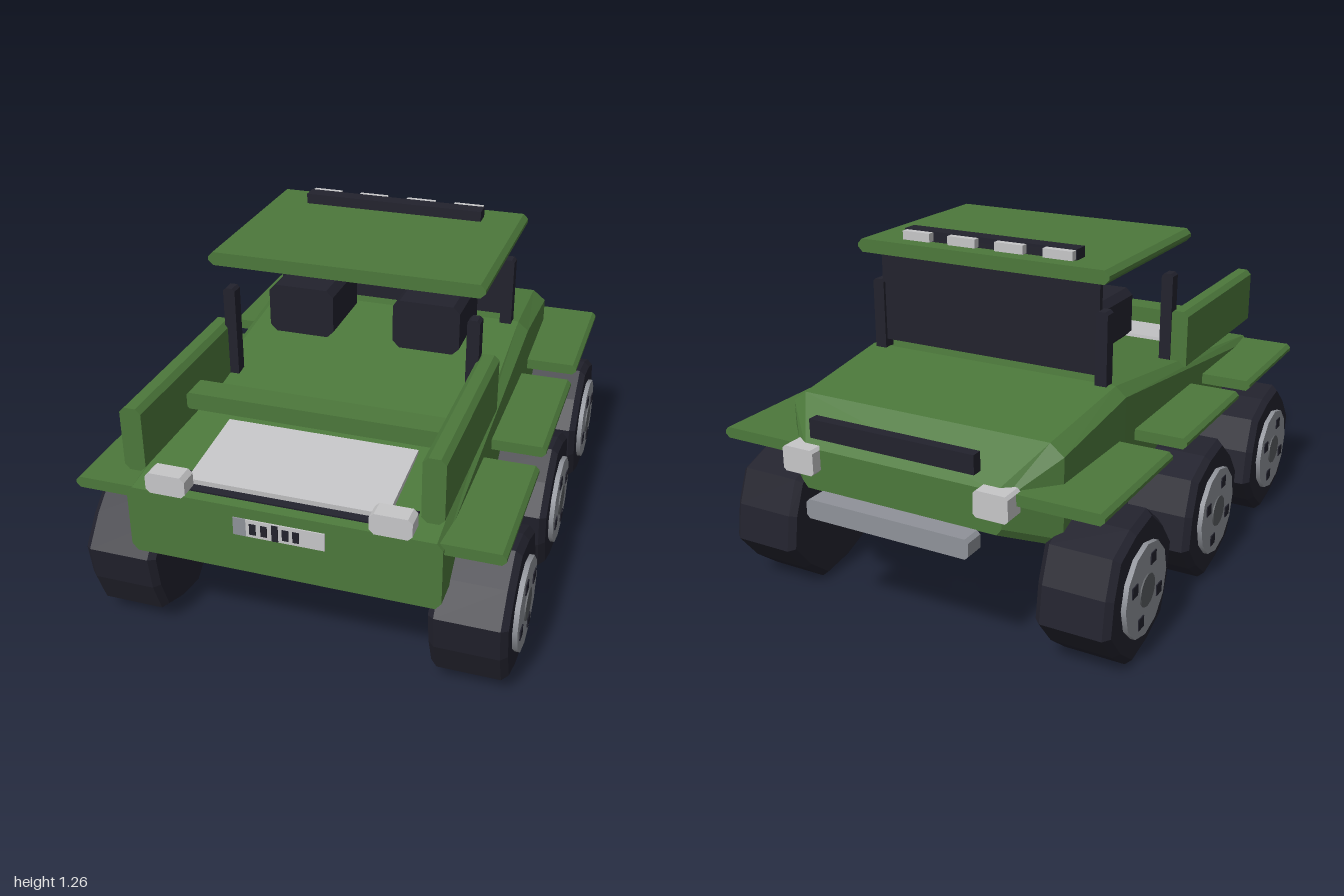
import * as THREE from 'three';

const mat = (name, color) => {
  const m = new THREE.MeshStandardMaterial({ color });
  m.name = name;
  return m;
};

// Skin a list of closed cross-sections, each { z, pts: [[x, y], ...] } counter-clockwise, running from +z to -z
function loft(sections) {
  const pos = [];
  const n = sections[0].pts.length;
  const put = (s, j) => pos.push(s.pts[j % n][0], s.pts[j % n][1], s.z);
  for (let i = 0; i < sections.length - 1; i++) {
    const a = sections[i], b = sections[i + 1];
    for (let j = 0; j < n; j++) {
      put(a, j); put(b, j); put(b, j + 1);
      put(a, j); put(b, j + 1); put(a, j + 1);
    }
  }
  const first = sections[0], last = sections[sections.length - 1];
  for (let j = 1; j < n - 1; j++) {
    put(first, 0); put(first, j); put(first, j + 1);
    put(last, 0); put(last, j + 1); put(last, j);
  }
  const g = new THREE.BufferGeometry();
  g.setAttribute('position', new THREE.Float32BufferAttribute(pos, 3));
  g.computeVertexNormals();
  return g;
}

// Bar along z with cut corners, given by its limits
function bar(x0, x1, y0, y1, z0, z1, c) {
  const pts = [[x0 + c, y0], [x1 - c, y0], [x1, y0 + c], [x1, y1 - c],
    [x1 - c, y1], [x0 + c, y1], [x0, y1 - c], [x0, y0 + c]];
  return loft([{ z: z1, pts }, { z: z0, pts }]);
}

export function createModel() {
  const model = new THREE.Group();
  model.name = 'sixWheeledTruck';
  const green = mat('green paint', 0x4c783b);
  const dark = mat('dark rubber', 0x22222d);
  const light = mat('light silver', 0xc6c6c8);
  const grey = mat('rim grey', 0x8f9299);
  const hubGrey = mat('hub grey', 0x5a5d61);

  const add = (name, geo, material, parent = model) => {
    const m = new THREE.Mesh(geo, material);
    m.name = name;
    parent.add(m);
    return m;
  };
  const box = (name, material, x0, x1, y0, y1, z0, z1) => {
    const g = new THREE.BoxGeometry(x1 - x0, y1 - y0, z1 - z0);
    g.translate((x0 + x1) / 2, (y0 + y1) / 2, (z0 + z1) / 2);
    return add(name, g, material);
  };
  // Cut-corner bar on both sides
  const pair = (name, material, x0, x1, y0, y1, z0, z1, c) => {
    add(name + 'Left', bar(x0, x1, y0, y1, z0, z1, c), material);
    add(name + 'Right', bar(-x1, -x0, y0, y1, z0, z1, c), material);
  };

  // Body: z, half width, bottom, shoulder, top, half width of the top
  const body = [
    [0.96, 0.54, 0.385, 0.61, 0.635, 0.52],
    [-0.33, 0.54, 0.39, 0.775, 0.81, 0.5],
    [-0.77, 0.53, 0.41, 0.72, 0.76, 0.48],
    [-0.92, 0.39, 0.48, 0.6, 0.63, 0.37],
  ].map(([z, w, yb, ys, yt, wt]) => ({
    z,
    pts: [[w - 0.02, yb], [w, yb + 0.025], [w, ys], [wt, yt],
      [-wt, yt], [-w, ys], [-w, yb + 0.025], [-w + 0.02, yb]],
  }));
  add('body', loft(body), green);

  // Fenders and wheels
  const wheelZ = [0.68, 0.02, -0.64];
  const makeWheel = (s, z) => {
    const wheel = new THREE.Group();
    wheel.name = s > 0 ? 'wheelLeft' : 'wheelRight';
    wheel.position.set(s * 0.6175, 0.255, z);
    wheel.rotation.y = s * Math.PI / 2;
    const ring = (k) => Array.from({ length: 12 }, (_, i) => {
      const a = THREE.MathUtils.degToRad((s > 0 ? 105 : 75) + i * 30);
      const r = (i % 2 ? 0.242 : 0.263) * k;
      return [Math.cos(a) * r, Math.sin(a) * r];
    });
    add('tire', loft([[0.1325, 0.92], [0.11, 1], [-0.11, 1], [-0.1325, 0.92]]
      .map(([d, k]) => ({ z: d, pts: ring(k) }))), dark, wheel);
    const disc = (name, r, d, depth, material) => {
      const g = new THREE.CylinderGeometry(r, r, depth, 12);
      g.rotateX(Math.PI / 2);
      add(name, g, material, wheel).position.z = d - depth / 2;
    };
    disc('rim', 0.165, 0.15, 0.04, grey);
    disc('hub', 0.058, 0.155, 0.009, hubGrey);
    for (const [x, y] of [[-0.043, 0.1], [0.1, 0.043], [0.043, -0.1], [-0.1, -0.043]]) {
      add('bolt', new THREE.BoxGeometry(0.04, 0.04, 0.008), dark, wheel).position.set(s * x, y, 0.15);
    }
    model.add(wheel);
  };
  for (const z of wheelZ) {
    pair('fender', green, 0.42, 0.735, 0.59, 0.63, z - 0.267, z + 0.267, 0.014);
    makeWheel(1, z);
    makeWheel(-1, z);
  }

  // Roof, windscreen and posts
  add('roof', bar(-0.5, 0.5, 1.178, 1.227, -0.4, 0.32, 0.018), green);
  box('windscreen', dark, -0.44, 0.44, 0.84, 1.18, -0.341, -0.32);
  pair('screenPost', dark, 0.43, 0.475, 0.74, 1.07, -0.352, -0.305, 0.01);
  pair('cargoPost', dark, 0.43, 0.475, 0.7, 1.07, 0.22, 0.268, 0.01);

  // Roof light bar
  box('roofLightBar', dark, -0.345, 0.345, 1.225, 1.265, -0.325, -0.265);
  for (const x of [-0.285, -0.097, 0.093, 0.28]) {
    box('roofLamp', light, x - 0.056, x + 0.056, 1.23, 1.262, -0.352, -0.322);
  }

  // Seats
  pair('seat', dark, 0.115, 0.365, 0.845, 1.032, -0.18, 0.1, 0.025);

  // Side panels, cross bar and deck
  pair('sidePanel', green, 0.465, 0.54, 0.7, 0.93, 0.225, 0.95, 0.018);
  add('crossBar', bar(-0.465, 0.465, 0.768, 0.83, 0.53, 0.63, 0.008), green);
  const deck = add('deckPlate', new THREE.BoxGeometry(0.69, 0.026, 0.35), light);
  deck.position.set(0, 0.673, 0.725);
  deck.rotation.x = 0.1;
  const trim = add('deckTrim', new THREE.BoxGeometry(0.86, 0.02, 0.09), dark);
  trim.position.set(0, 0.642, 0.88);
  trim.rotation.x = 0.135;

  // Lamps at both ends
  pair('frontLamp', light, 0.31, 0.45, 0.65, 0.725, 0.925, 0.99, 0.015);
  pair('rearLamp', light, 0.31, 0.435, 0.548, 0.64, -0.96, -0.88, 0.01);

  // Plate with plain dark bars
  box('plate', light, -0.115, 0.155, 0.53, 0.595, 0.957, 0.965);
  box('plateEnd', grey, -0.16, -0.115, 0.53, 0.595, 0.957, 0.965);
  [-0.091, -0.052, -0.014, 0.022, 0.058].forEach((x, i) => {
    const h = i === 2 ? 0.03 : 0.02;
    box('plateBar', dark, x - 0.011, x + 0.011, 0.562 - h, 0.562 + h, 0.962, 0.968);
  });

  // Bars on the nose
  box('noseBar', dark, -0.315, 0.315, 0.688, 0.755, -0.957, -0.918);
  add('bumper', bar(-0.315, 0.315, 0.415, 0.485, -1, -0.925, 0.012), grey);

  return model;
}
